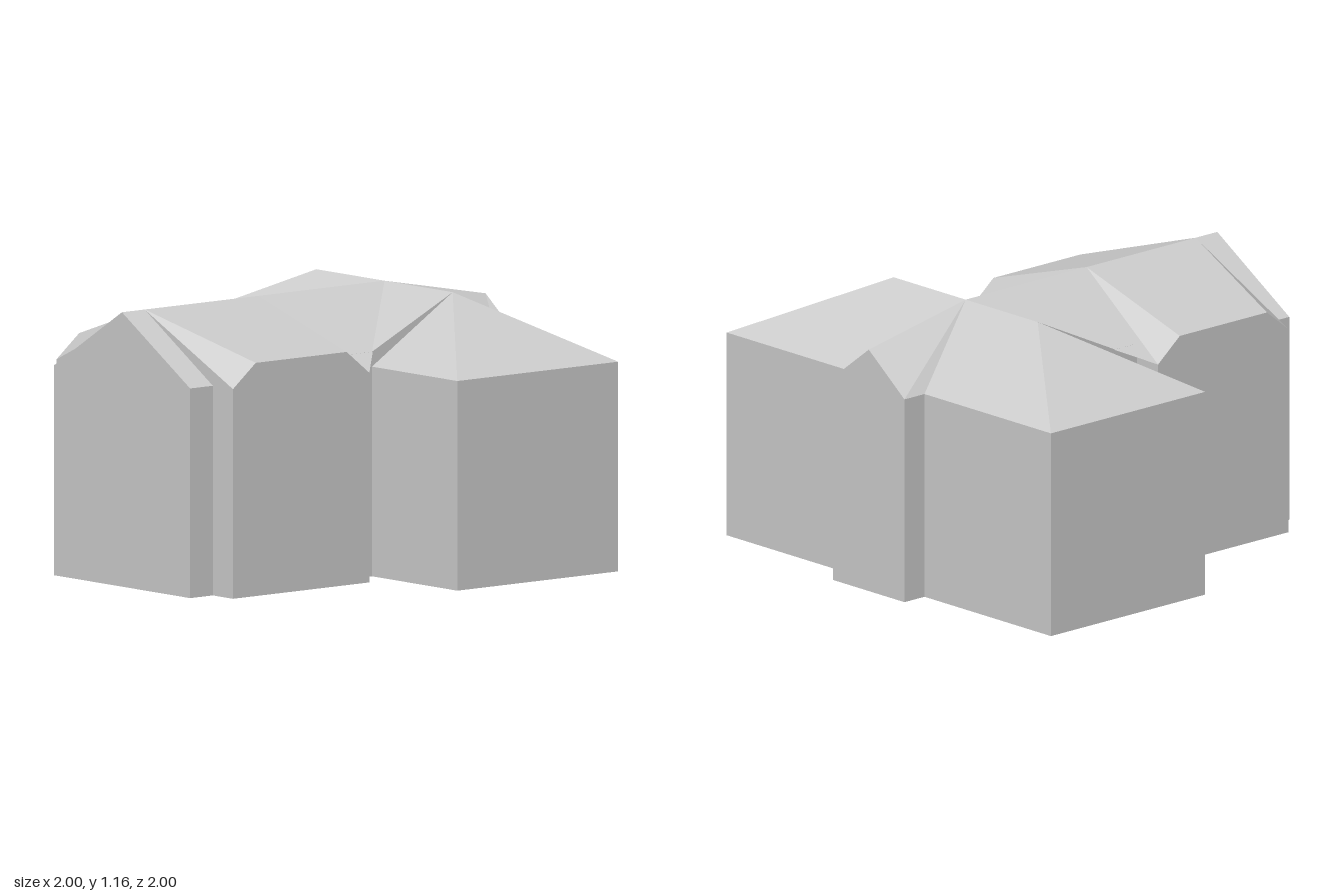
import * as THREE from 'three';

const EAVE = 0.89, RIDGE = 1.165, CROSS = -0.444; // heights, and z of the rear ridge
const NECK = 0.953; // height where the link roof passes over the neck walls

// Half of the footprint (x, z), from front centre round to back centre
const outline = [
  [0, 1], [0.444, 1], [0.444, 0.875], [0.575, 0.875], [0.575, 0.125], [0.444, 0.125],
  [0.444, 0], [1, 0], [1, -0.885], [0.22, -0.885], [0.22, -1], [0, -1],
];

// Flat-shaded mesh from convex panels on the +x side, mirrored to -x
function mirroredPanels(name, panels) {
  const pos = [];
  const fan = (p) => {
    for (let i = 1; i < p.length - 1; i++) pos.push(...p[0], ...p[i], ...p[i + 1]);
  };
  for (const p of panels) {
    fan(p);
    fan(p.map(([x, y, z]) => [-x, y, z]).reverse());
  }
  const geo = new THREE.BufferGeometry();
  geo.setAttribute('position', new THREE.Float32BufferAttribute(pos, 3));
  geo.computeVertexNormals();
  return makeMesh(name, geo);
}

function makeMesh(name, geo) {
  const mat = new THREE.MeshStandardMaterial({
    color: 0xcccccc, flatShading: true, side: THREE.DoubleSide,
  });
  const mesh = new THREE.Mesh(geo, mat);
  mesh.name = name;
  return mesh;
}

export function createModel() {
  const house = new THREE.Group();
  house.name = 'house';

  // Walls up to the eaves
  const walls = outline.slice(1).map(([x, z], i) => {
    const [px, pz] = outline[i];
    return [[px, 0, pz], [x, 0, z], [x, EAVE, z], [px, EAVE, pz]];
  });
  house.add(mirroredPanels('walls', walls));

  // Floor
  const mirrored = outline.slice(1, -1).reverse().map(([x, z]) => [-x, z]);
  const footprint = new THREE.Shape([...outline, ...mirrored].map(([x, z]) => new THREE.Vector2(x, z)));
  house.add(makeMesh('floor', new THREE.ShapeGeometry(footprint).rotateX(Math.PI / 2)));

  // Gables and wall parts above the eaves
  house.add(mirroredPanels('frontBayGable', [
    [[0, EAVE, 1], [0.444, EAVE, 1], [0, RIDGE, 1]],
  ]));
  house.add(mirroredPanels('frontWingUpperWalls', [
    [[0, RIDGE, 0.875], [0.444, EAVE, 0.875], [0.575, EAVE, 0.875]],
    [[0.575, EAVE, 0.875], [0.575, EAVE, 0.125], [0.575, 0.99, 0.25], [0.575, 0.99, 0.75]],
    [[0.575, EAVE, 0.125], [0.444, EAVE, 0.125], [0.444, NECK, 0.125]],
  ]));
  house.add(mirroredPanels('neckUpperWalls', [
    [[0.444, EAVE, 0.125], [0.444, EAVE, 0], [0.444, NECK, 0], [0.444, NECK, 0.125]],
    [[0.444, EAVE, 0], [0.444, RIDGE, CROSS], [0.444, NECK, 0]],
  ]));
  house.add(mirroredPanels('backBayGable', [
    [[0.22, EAVE, -1], [0, EAVE, -1], [0, 1.06, -1]],
  ]));

  // Roofs
  house.add(mirroredPanels('frontBayRoof', [
    [[0.444, EAVE, 0.875], [0, RIDGE, 0.875], [0, RIDGE, 1], [0.444, EAVE, 1]],
  ]));
  house.add(mirroredPanels('frontWingRoof', [
    [[0.575, 0.99, 0.25], [0, RIDGE, 0.25], [0, RIDGE, 0.875], [0.575, 0.99, 0.75]],
    [[0.575, 0.99, 0.75], [0, RIDGE, 0.875], [0.575, EAVE, 0.875]],
    [[0.575, EAVE, 0.125], [0, RIDGE, 0.25], [0.575, 0.99, 0.25]],
  ]));
  house.add(mirroredPanels('linkRoof', [
    [[0.575, EAVE, 0.125], [0, RIDGE, CROSS], [0, RIDGE, 0.25]],
  ]));
  house.add(mirroredPanels('rearWingRoof', [
    [[0.444, EAVE, 0], [1, EAVE, 0], [0.444, RIDGE, CROSS]],
    [[0, RIDGE, CROSS], [0.444, NECK, 0], [0.444, RIDGE, CROSS]],
    [[1, EAVE, 0], [1, EAVE, -0.885], [0.444, RIDGE, CROSS]],
    [[1, EAVE, -0.885], [0.22, EAVE, -0.885], [0, RIDGE, CROSS], [0.444, RIDGE, CROSS]],
  ]));
  house.add(mirroredPanels('backBayRoof', [
    [[0.22, EAVE, -0.885], [0.22, EAVE, -1], [0, 1.06, -1], [0, RIDGE, CROSS]],
  ]));

  return house;
}
